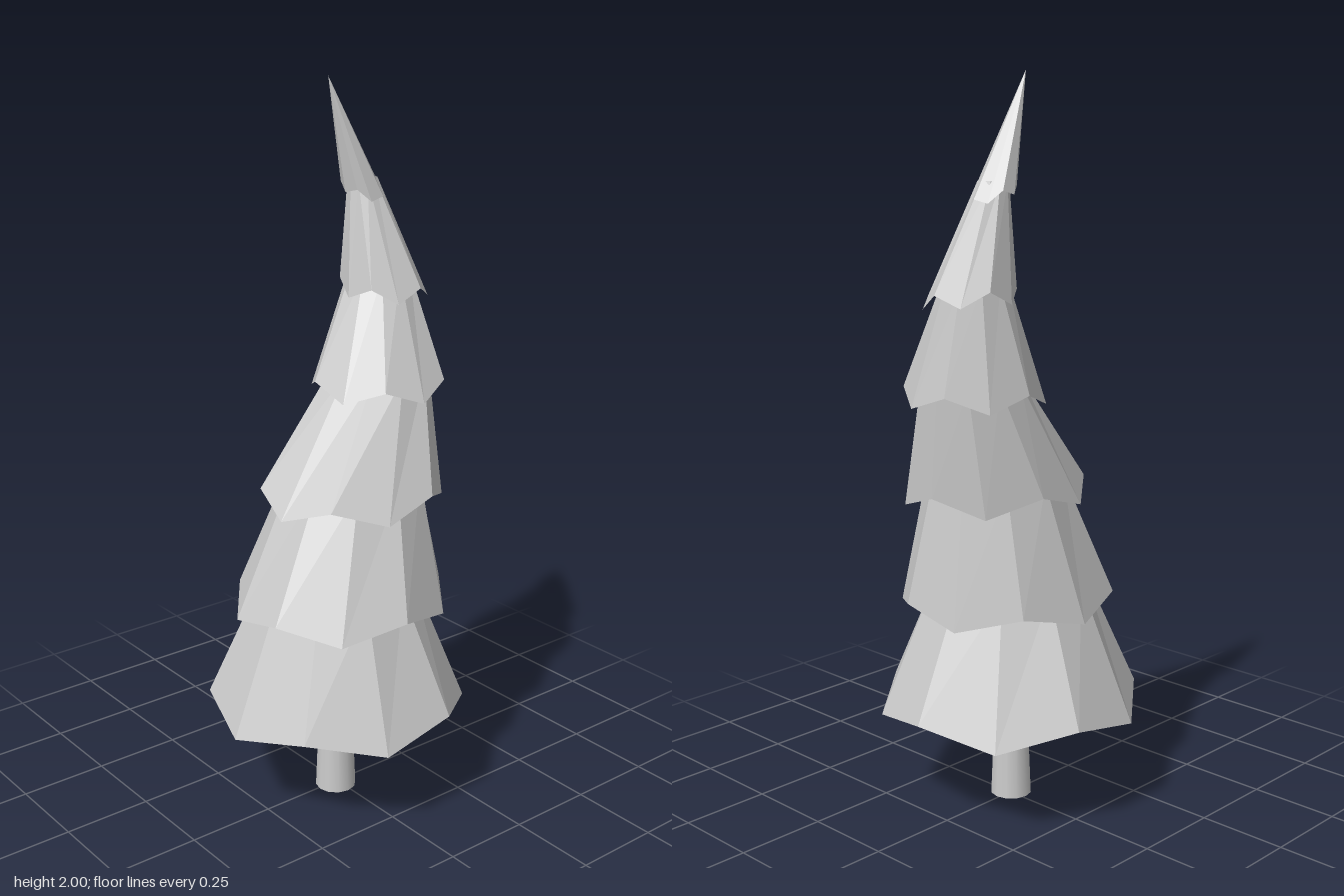
import * as THREE from 'three';

const SIDES = 10;

// Each tier: hem centre, radii, mean height, zigzag depth, angle of a low tip (degrees), tilt of the hem,
// and the smaller top ring that tucks inside the tier above.
const TIERS = [
  { hem: [0, 0.29, 0], rx: 0.36, rz: 0.365, zig: 0.022, turn: 88, tilt: [0, 0], top: [0, 0.65, 0], topR: 0.21 },
  { hem: [0.008, 0.59, -0.005], rx: 0.287, rz: 0.305, zig: 0.02, turn: 108, tilt: [0, 0], top: [-0.01, 0.95, -0.07], topR: 0.185 },
  { hem: [0.01, 0.897, -0.045], rx: 0.235, rz: 0.26, zig: 0.023, turn: 85, tilt: [0, 0], top: [-0.035, 1.22, -0.18], topR: 0.135 },
  { hem: [-0.03, 1.178, -0.165], rx: 0.19, rz: 0.183, zig: 0.02, turn: 70, tilt: [0, 0], top: [-0.085, 1.48, -0.215], topR: 0.085 },
  { hem: [-0.065, 1.435, -0.215], rx: 0.12, rz: 0.12, zig: 0.018, turn: 92, tilt: [-0.09, 0], top: [-0.11, 1.73, -0.175], topR: 0.04 },
  { hem: [-0.11, 1.69, -0.18], rx: 0.063, rz: 0.062, zig: 0.01, turn: 92, tilt: [-0.22, 0.22], top: [-0.112, 2, -0.06], topR: 0 },
];

// Leaning skirt of branches: a zigzag hem joined to its top ring (or to a point)
function tierGeometry({ hem, rx, rz, zig, turn, tilt, top, topR }) {
  const low = [], high = [];
  for (let i = 0; i < SIDES; i++) {
    const a = THREE.MathUtils.degToRad(turn) + (i / SIDES) * Math.PI * 2;
    const c = Math.cos(a), s = Math.sin(a);
    const y = hem[1] + (i % 2 ? zig : -zig) + tilt[0] * rx * c + tilt[1] * rz * s;
    low.push([hem[0] + rx * c, y, hem[2] + rz * s]);
    high.push([top[0] + topR * c, top[1], top[2] + topR * s]);
  }
  const positions = [];
  for (let i = 0; i < SIDES; i++) {
    const j = (i + 1) % SIDES;
    positions.push(...low[j], ...low[i], ...high[i]);
    if (topR > 0) positions.push(...low[j], ...high[i], ...high[j]);
  }
  const geometry = new THREE.BufferGeometry();
  geometry.setAttribute('position', new THREE.Float32BufferAttribute(positions, 3));
  geometry.computeVertexNormals();
  return geometry;
}

export function createModel() {
  const tree = new THREE.Group();
  tree.name = 'crookedPineTree';

  // Tapered hollow trunk, ending inside the lowest tier
  const trunk = new THREE.Mesh(
    new THREE.CylinderGeometry(0.04, 0.058, 0.44, 12, 1, true),
    new THREE.MeshStandardMaterial({ color: 0xcccccc, side: THREE.DoubleSide })
  );
  trunk.name = 'trunk';
  trunk.position.set(0.006, 0.22, 0.01);
  tree.add(trunk);

  // Overlapping foliage tiers along the bent axis
  const foliage = new THREE.Group();
  foliage.name = 'foliage';
  const leaf = new THREE.MeshStandardMaterial({ color: 0xcccccc, flatShading: true, side: THREE.DoubleSide });
  TIERS.forEach((tier, i) => {
    const mesh = new THREE.Mesh(tierGeometry(tier), leaf);
    mesh.name = i === TIERS.length - 1 ? 'treeTop' : `foliageTier${i + 1}`;
    foliage.add(mesh);
  });
  tree.add(foliage);
  return tree;
}
